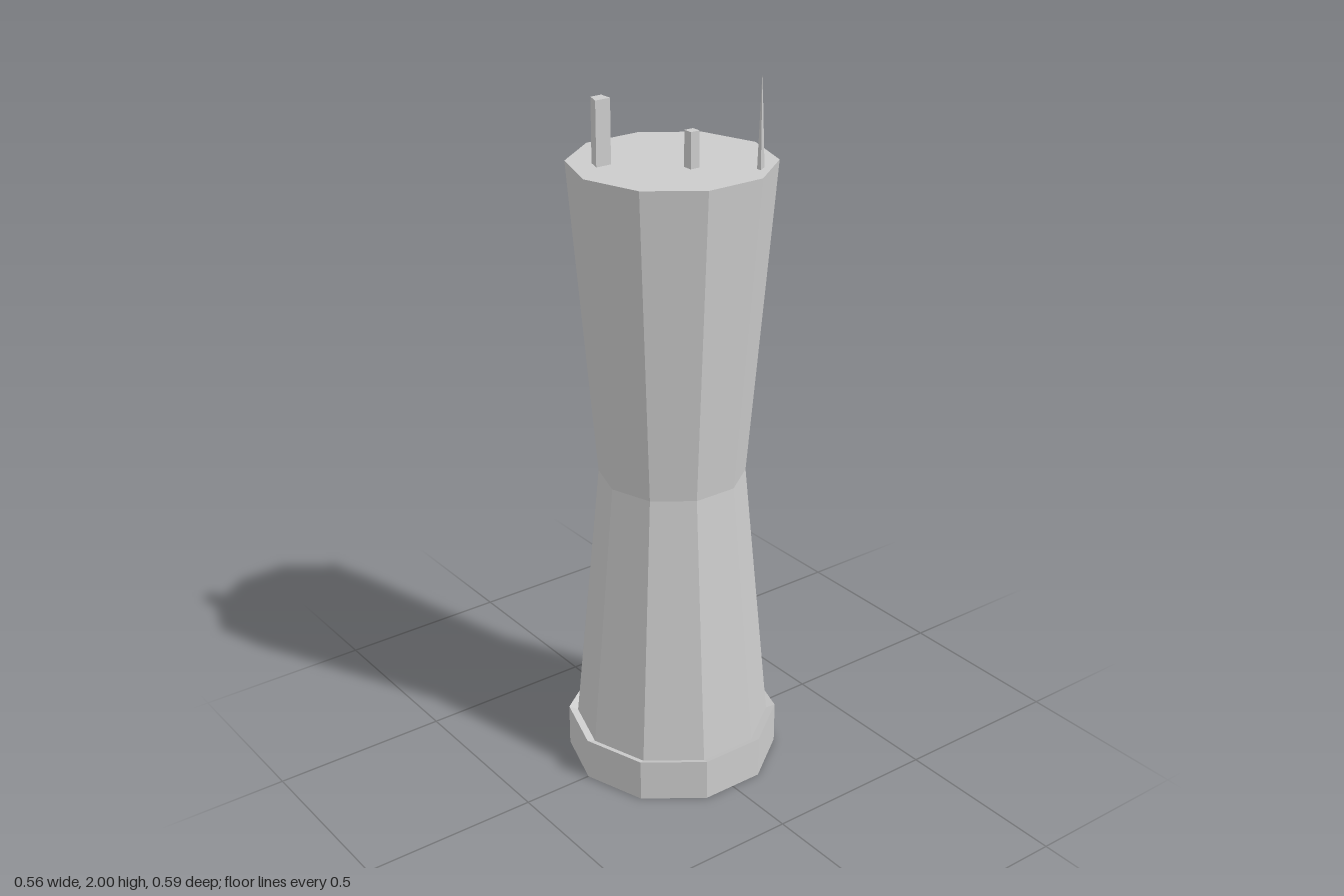
import * as THREE from 'three';

const SIDES = 10;
const TOP = 1.75;

export function createModel() {
  const group = new THREE.Group();
  const material = new THREE.MeshStandardMaterial({
    color: 0xcccccc, flatShading: true, side: THREE.DoubleSide,
  });

  const add = (name, geometry) => {
    const mesh = new THREE.Mesh(geometry, material);
    mesh.name = name;
    group.add(mesh);
    return mesh;
  };

  // ten-sided surface from [radius, height] pairs, bottom to top
  const lathe = (points) => new THREE.LatheGeometry(
    points.map(([r, y]) => new THREE.Vector2(r, y)), SIDES);

  // upright prism from an [x, z] footprint
  const prism = (footprint, height) => {
    const shape = new THREE.Shape(footprint.map(([x, z]) => new THREE.Vector2(x, -z)));
    return new THREE.ExtrudeGeometry(shape, { depth: height, bevelEnabled: false })
      .rotateX(-Math.PI / 2).translate(0, TOP, 0);
  };

  // waisted tower with a closed roof, open below
  add('towerBody', lathe([[0.272, 0.11], [0.2, 0.88], [0.272, TOP]]));
  add('roof', lathe([[0.272, TOP], [0, TOP]]));

  // foot ring with a shallow ledge dipping in to the tower
  add('footRing', lathe([[0.297, 0], [0.297, 0.12]]));
  add('footLedge', lathe([[0.297, 0.12], [0.272, 0.11]]));

  // two roof posts
  add('tallPost', prism([[-0.1, 0.145], [-0.1, 0.178], [-0.062, 0.19], [-0.062, 0.145]], 0.17));
  add('shortPost', prism([[0.066, -0.015], [0.066, 0.012], [0.093, 0.012], [0.093, -0.015]], 0.095));

  // three-sided antenna: a prism whose upper end is drawn to a point
  const spike = prism([[0.188, -0.147], [0.188, -0.123], [0.203, -0.123]], 0.25);
  const pos = spike.attributes.position;
  for (let i = 0; i < pos.count; i++) {
    if (pos.getY(i) > TOP + 0.1) pos.setXYZ(i, 0.193, 2, -0.13);
  }
  spike.computeVertexNormals();
  add('antenna', spike);

  return group;
}
